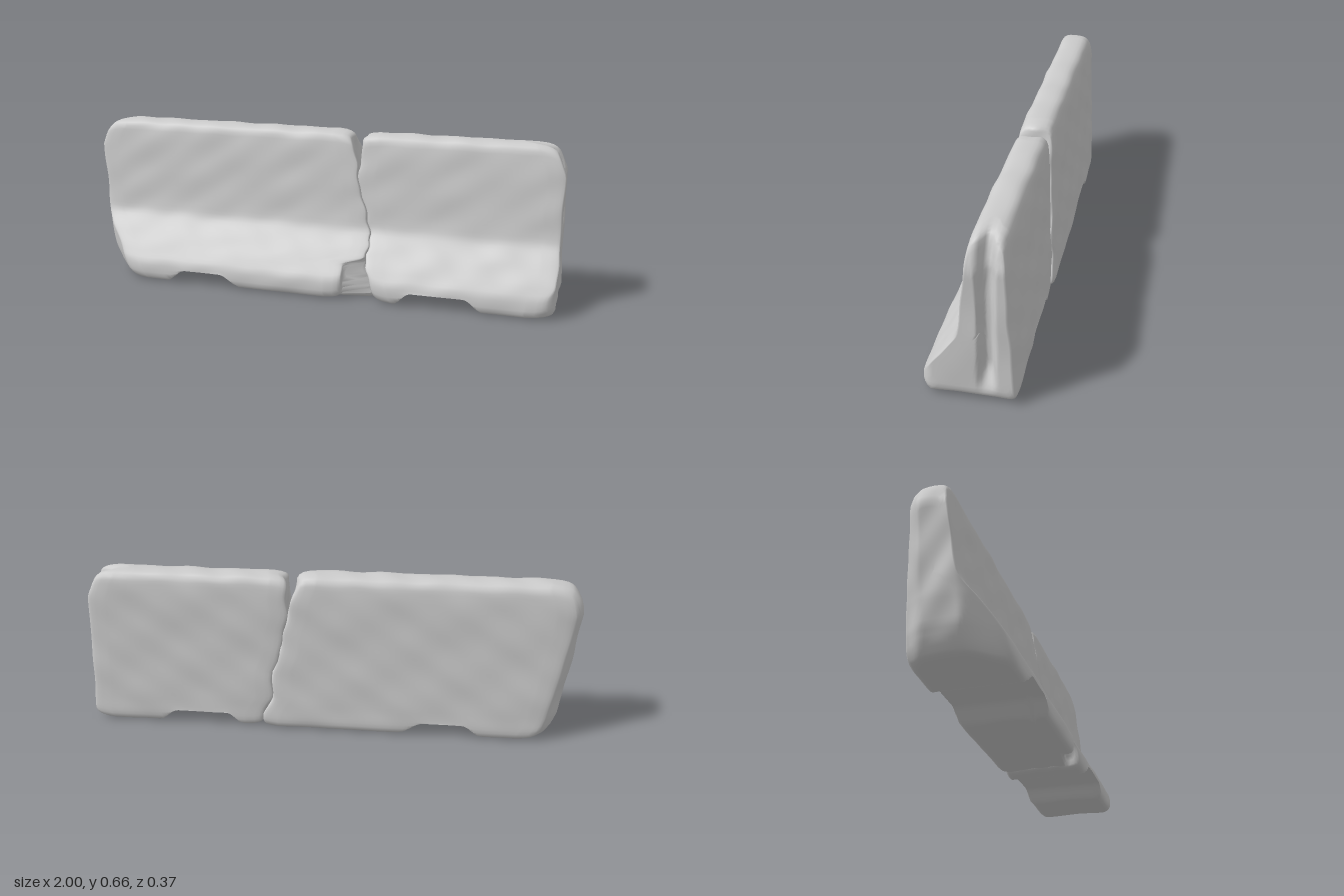
import * as THREE from 'three';

const { smoothstep, lerp } = THREE.MathUtils;

// Cross-section as (z, y): up the sloped front, over the top, down the back
const SECTION = [
  [0.172, 0.006], [0.18, 0.016], [0.178, 0.075], [0.155, 0.115], [0.1, 0.19], [0.045, 0.262],
  [0.034, 0.3], [0.015, 0.45], [-0.004, 0.605], [-0.012, 0.638], [-0.03, 0.655], [-0.115, 0.655],
  [-0.134, 0.64], [-0.144, 0.6], [-0.16, 0.36], [-0.178, 0.1], [-0.18, 0.02], [-0.17, 0.004], [0, 0.005],
].map(([z, y]) => new THREE.Vector3(z, y, 0));
const CENTRE = { z: -0.05, y: 0.29 };

// Piecewise-linear lookup through [y, x] pairs with rising y
function along(table, y) {
  for (let i = 1; i < table.length; i++) {
    const [y0, x0] = table[i - 1], [y1, x1] = table[i];
    if (y <= y1) return lerp(x0, x1, Math.max(0, (y - y0) / (y1 - y0)));
  }
  return table[table.length - 1][1];
}

// Smooth unevenness of worn concrete, about -1 to 1
const rough = (a, b, c) =>
  (Math.sin(a * 17 + b * 23 + 1.3) + Math.sin(b * 41 - a * 29 + c * 13) + Math.sin(c * 47 + a * 11 - b * 31 + 2)) / 3;

// Weathered left-hand end of the wall, tapering to the base
const OUTER = [[0, -0.88], [0.05, -0.915], [0.1, -0.935], [0.2, -0.955], [0.4, -0.98], [0.55, -1], [0.6, -0.985], [0.66, -0.94]];
const taperedEnd = (y, z) =>
  along(OUTER, y) + 0.1 * smoothstep(z, 0.03, 0.18) + 0.05 * smoothstep(-z, 0.1, 0.18) + 0.006 * rough(y, z, 0);

// Square end with an upright connecting groove
const KEY = [[0, 0.98], [0.04, 0.997], [0.54, 0.997], [0.6, 0.975], [0.66, 0.945]];
const groovedEnd = (y, z) =>
  along(KEY, y) - 0.045 * Math.exp(-(((z + 0.072) / 0.025) ** 4)) * smoothstep(y, 0.03, 0.14)
  - 0.04 * smoothstep(z, 0.13, 0.18) - 0.004 * (1 + rough(y, z, 1));

// Jagged break between the two pieces, opening towards the top
const CRACK = [[0, 0.283], [0.06, 0.268], [0.13, 0.235], [0.18, 0.232], [0.25, 0.236], [0.3, 0.213], [0.4, 0.186], [0.5, 0.168], [0.58, 0.16], [0.66, 0.15]];
const crack = (y, z) => along(CRACK, y) + 0.008 * rough(y * 2, z * 2, 2);
const gap = (y) => 0.002 + 0.022 * smoothstep(y, 0.48, 0.65);
const brokenLeft = (y, z) => {
  const chip = smoothstep(z, 0.105, 0.13) * (1 - smoothstep(y, 0.14, 0.18));
  return lerp(crack(y, z) - gap(y), 0.14, chip);
};
const brokenRight = (y, z) => crack(y, z) + gap(y);

// Lifting slots under the base
const slot = (x, a, b, c, d) => 0.056 * smoothstep(x, a, b) * (1 - smoothstep(x, c, d));
const underside = (x) => slot(x, -0.64, -0.55, -0.39, -0.28) + slot(x, 0.35, 0.43, 0.64, 0.73);

// Closed solid: end cap rings, rounded edge, body, rounded edge, end cap
function wallPiece(name, startAt, endAt, scaleZ, scaleY, bodySteps) {
  const ring = new THREE.CatmullRomCurve3(SECTION, true, 'centripetal').getSpacedPoints(112).slice(0, -1);
  const cap = [];
  for (let i = 0; i <= 16; i++) cap.push({ s: 0.93 * i / 16, inset: 0 });
  cap.push({ s: 0.955, inset: 0.005 }, { s: 0.975, inset: 0.015 }, { s: 0.99, inset: 0.033 }, { s: 1, inset: 0.065 });
  const rows = cap.map((r) => ({ ...r, t: 0 }));
  for (let i = 1; i < bodySteps; i++) rows.push({ s: 1, inset: 0.065, t: i / bodySteps });
  rows.push(...cap.slice().reverse().map((r) => ({ ...r, t: 1 })));

  const positions = [], index = [], n = ring.length;
  rows.forEach(({ s, inset, t }, i) => {
    ring.forEach((p, j) => {
      let z = lerp(CENTRE.z, p.x, s) * scaleZ;
      let y = lerp(CENTRE.y, p.y, s) * scaleY;
      const x = lerp(startAt(y, z) + inset, endAt(y, z) - inset, t);
      z += 0.0025 * s * rough(x, y, z);
      y += 0.003 * s * rough(z, x, y) * smoothstep(y, 0.02, 0.1);
      y = Math.max(y, underside(x), 0);
      positions.push(x, y, z);
      if (i < rows.length - 1) {
        const a = i * n + j, b = i * n + (j + 1) % n;
        index.push(a, a + n, b, b, a + n, b + n);
      }
    });
  });
  const geometry = new THREE.BufferGeometry();
  geometry.setAttribute('position', new THREE.Float32BufferAttribute(positions, 3));
  geometry.setIndex(index);
  geometry.computeVertexNormals();
  const mesh = new THREE.Mesh(geometry, new THREE.MeshStandardMaterial({ color: 0xcccccc, roughness: 0.9 }));
  mesh.name = name;
  return mesh;
}

export function createModel() {
  const model = new THREE.Group();
  model.name = 'brokenConcreteBarrier';
  model.add(
    wallPiece('longBarrierPiece', taperedEnd, brokenLeft, 1, 1, 80),
    wallPiece('shortBarrierPiece', brokenRight, groovedEnd, 0.96, 0.99, 56),
  );
  return model;
}
